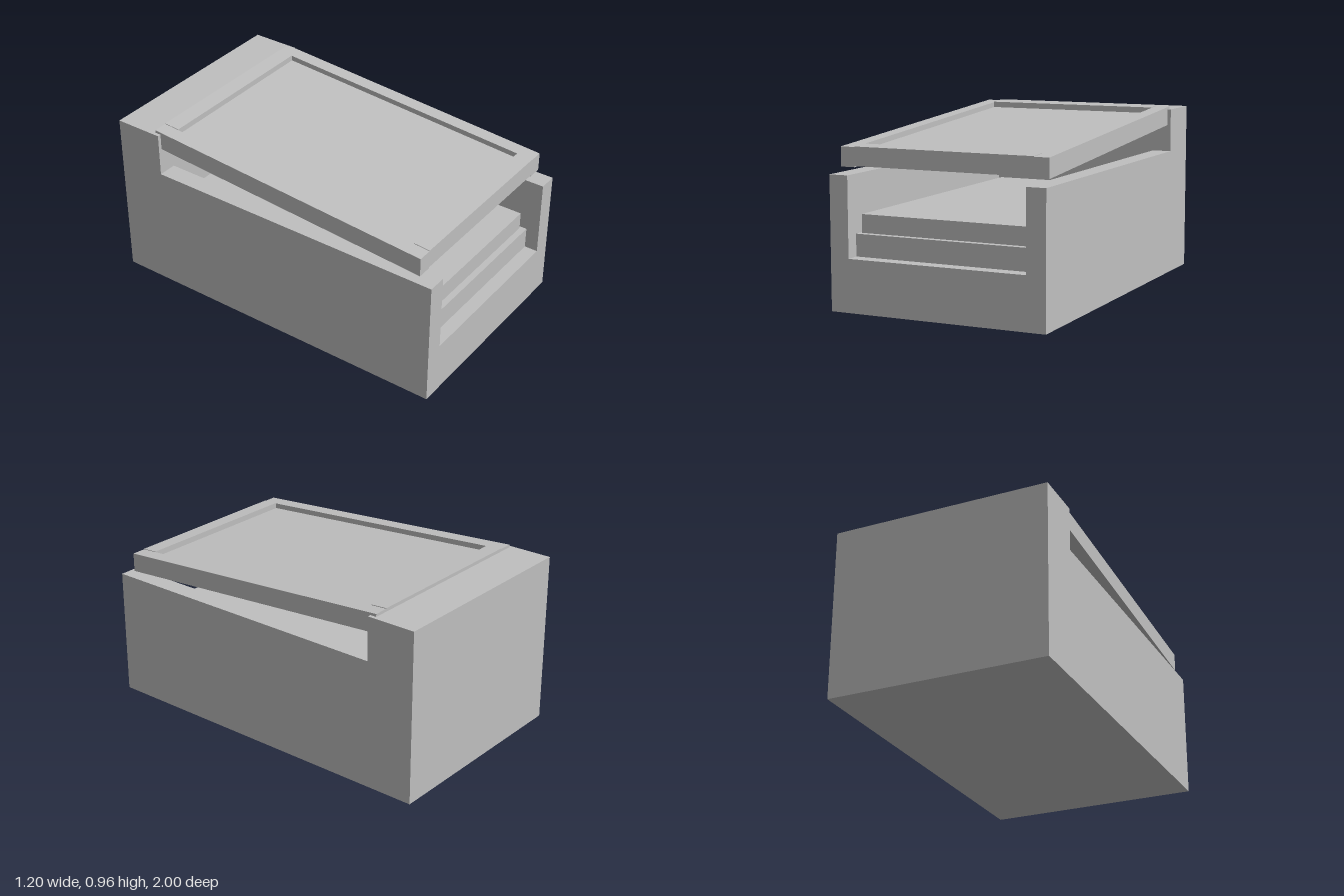
import * as THREE from 'three';

export function createModel() {
  const model = new THREE.Group();
  const grey = new THREE.MeshStandardMaterial({ color: 0xbfbfbf });
  grey.name = 'plain grey';

  const add = (name, geometry, parent = model) => {
    const mesh = new THREE.Mesh(geometry, grey);
    mesh.name = name;
    parent.add(mesh);
    return mesh;
  };

  // Box given by its limits on each axis
  const block = (x0, x1, y0, y1, z0, z1) =>
    new THREE.BoxGeometry(x1 - x0, y1 - y0, z1 - z0)
      .translate((x0 + x1) / 2, (y0 + y1) / 2, (z0 + z1) / 2);

  // Housing: L-shaped side walls, floor and raised back
  const back = -0.725, inner = 0.495;
  const profile = new THREE.Shape([
    [1, 0], [1, 0.705], [back, 0.705], [back, 0.945], [-1, 0.945], [-1, 0],
  ].map(([z, y]) => new THREE.Vector2(-z, y)));
  for (const [name, x] of [['leftWall', inner], ['rightWall', -0.6]]) {
    const wall = new THREE.ExtrudeGeometry(profile, { depth: 0.6 - inner, bevelEnabled: false });
    add(name, wall.rotateY(Math.PI / 2).translate(x, 0, 0));
  }
  add('floor', block(-inner, inner, 0, 0.28, back, 1));
  add('backBlock', block(-inner, inner, 0, 0.945, -1, back));

  // Stepped stack inside the housing
  add('lowerTray', block(-inner, inner, 0.28, 0.398, back, 0.925));
  add('upperTray', block(-0.48, 0.48, 0.398, 0.495, back, 0.89));

  // Sloping lid: blocks sheared upward toward the back, heights measured at the front edge
  const lid = new THREE.Group();
  lid.name = 'lid';
  model.add(lid);
  const front = 0.92, rear = -0.76, slope = 0.12 / (front - rear);
  const sheared = (...limits) => {
    const g = block(...limits);
    const p = g.attributes.position;
    for (let i = 0; i < p.count; i++) p.setY(i, p.getY(i) + slope * (front - p.getZ(i)));
    g.computeVertexNormals();
    return g;
  };
  add('lidLeftRail', sheared(0.5, 0.58, 0.737, 0.84, rear, front), lid);
  add('lidRightRail', sheared(-0.58, -0.5, 0.737, 0.84, rear, front), lid);
  add('lidFrontRail', sheared(-0.5, 0.5, 0.743, 0.843, 0.83, front), lid);
  add('lidRearRail', sheared(-0.5, 0.5, 0.743, 0.843, rear, -0.67), lid);
  add('lidPanel', sheared(-0.5, 0.5, 0.76, 0.811, -0.67, 0.83), lid);

  return model;
}
